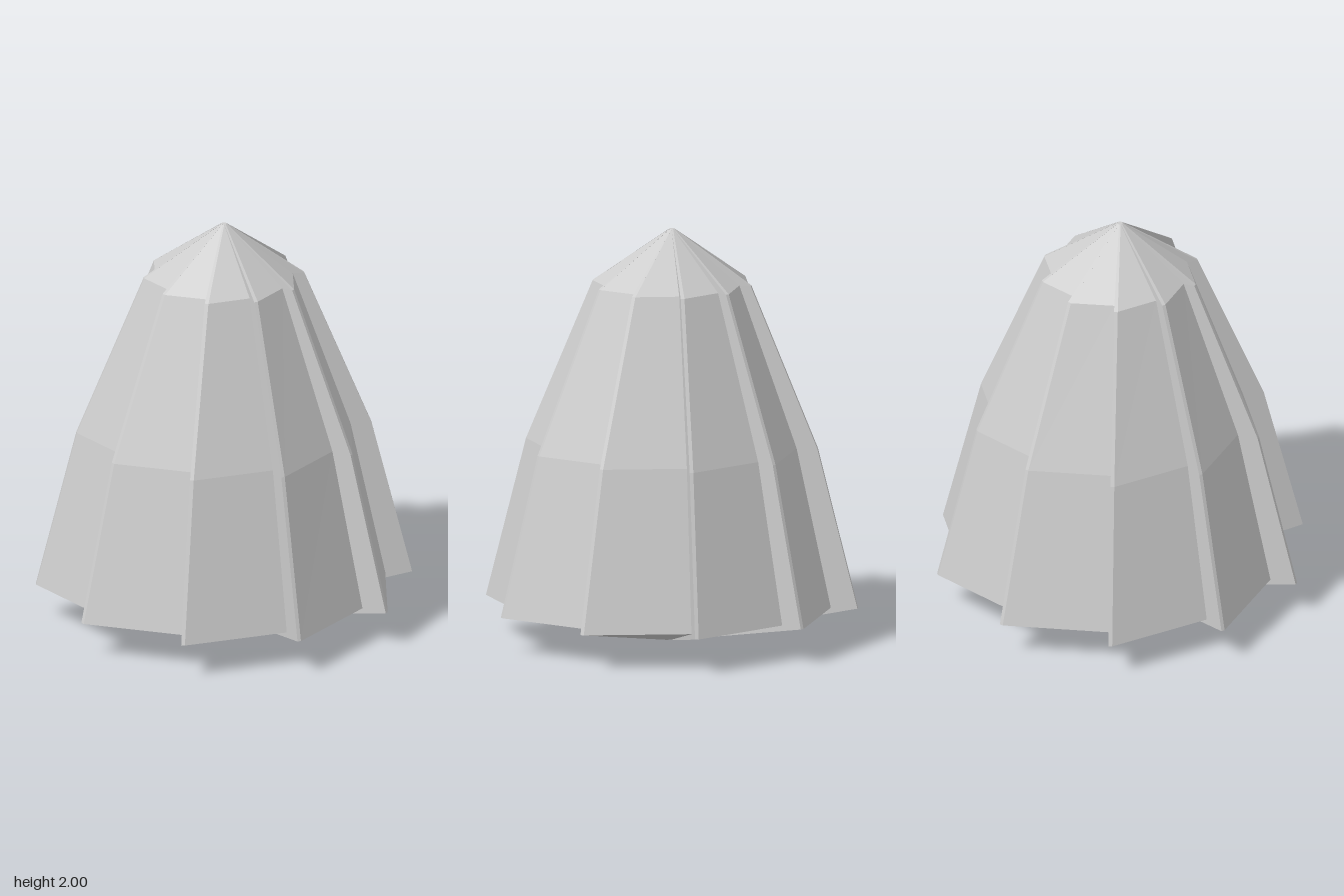
import * as THREE from 'three';

const BLADES = 10;
const START = THREE.MathUtils.degToRad(9.3);
// Tip radius and height of each level, bottom to top
const LEVELS = [[0.07, 0], [0.905, 0.175], [0.71, 0.95], [0.385, 1.735], [0.013, 2]];

// Saw-toothed ring: each blade has a narrow two-point edge, then a step inwards
function ring(r, y) {
  const points = [];
  const w = Math.min(0.009, r * 0.3);
  for (let k = 0; k < BLADES; k++) {
    const a = START + (k * Math.PI * 2) / BLADES;
    const c = Math.cos(a), s = Math.sin(a);
    for (const [d, t] of [[r, -w], [r, w], [r * 0.857, w]]) {
      points.push(new THREE.Vector3(c * d - s * t, y, s * d + c * t));
    }
  }
  return points;
}

export function createModel() {
  const group = new THREE.Group();
  group.name = 'pinwheelCone';
  const rings = LEVELS.map(([r, y]) => ring(r, y));
  const n = rings[0].length;
  const positions = [];
  const tri = (...corners) => corners.forEach((p) => positions.push(p.x, p.y, p.z));

  // Side panels and the blade steps between them
  for (let l = 0; l < rings.length - 1; l++) {
    const low = rings[l], high = rings[l + 1];
    for (let i = 0; i < n; i++) {
      const j = (i + 1) % n;
      tri(low[i], high[i], low[j]);
      tri(low[j], high[i], high[j]);
    }
  }

  // Small caps at the base and the apex
  const base = rings[0], apex = rings[rings.length - 1];
  const baseCentre = new THREE.Vector3(0, 0, 0);
  const apexCentre = new THREE.Vector3(0, 2, 0);
  for (let i = 0; i < n; i++) {
    const j = (i + 1) % n;
    tri(baseCentre, base[i], base[j]);
    tri(apexCentre, apex[j], apex[i]);
  }

  const geometry = new THREE.BufferGeometry();
  geometry.setAttribute('position', new THREE.Float32BufferAttribute(positions, 3));
  geometry.computeVertexNormals();
  const body = new THREE.Mesh(
    geometry,
    new THREE.MeshStandardMaterial({ color: 0xcccccc, flatShading: true })
  );
  body.name = 'bladedBody';
  group.add(body);
  return group;
}
